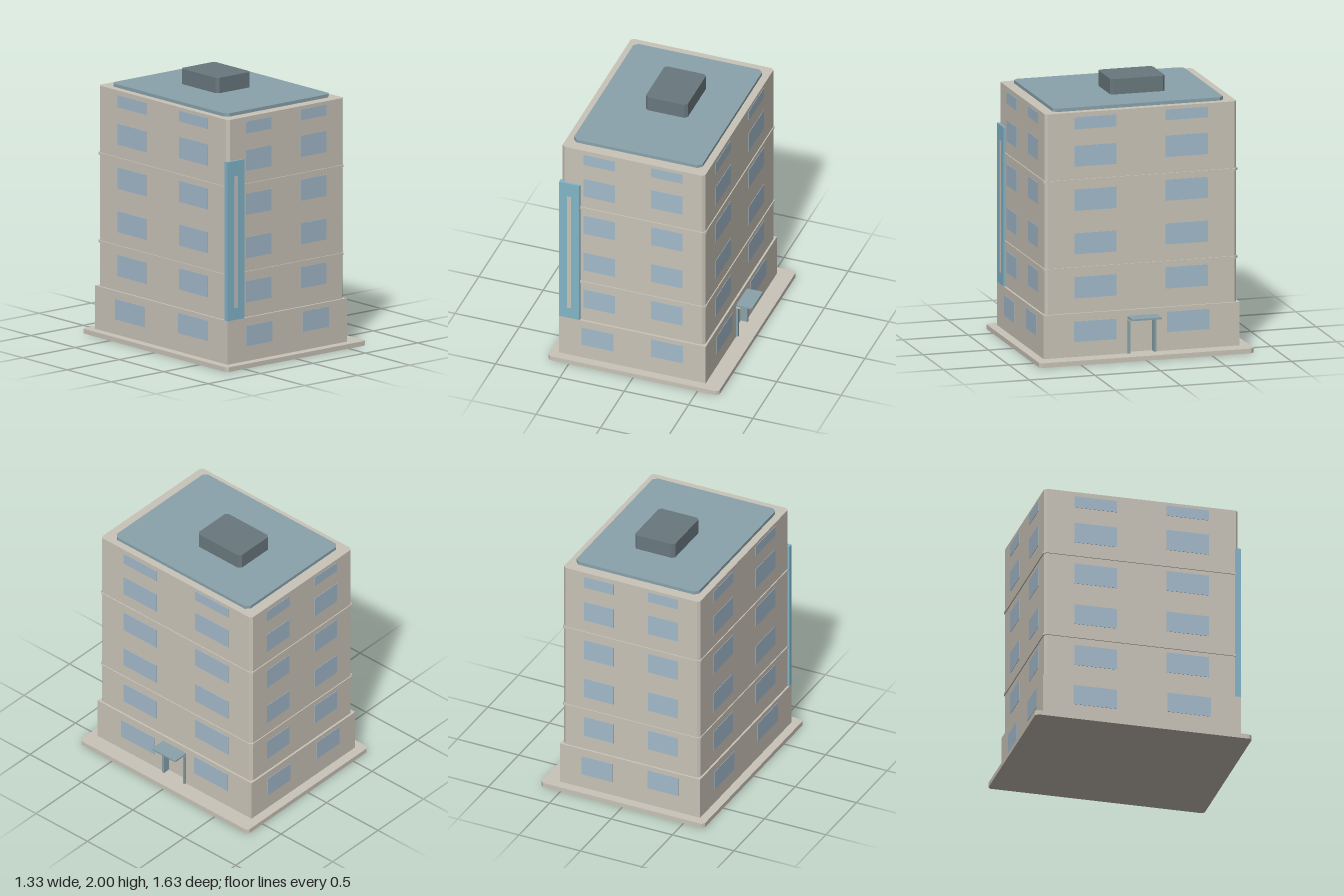
import * as THREE from 'three';

const mat = (name, color) => {
  const m = new THREE.MeshStandardMaterial({ color });
  m.name = name;
  return m;
};

export function createModel() {
  const wall = mat('stone beige', 0xcac4b8);
  const glass = mat('window blue', 0xa3bacb);
  const roofBlue = mat('roof grey blue', 0x8aa3ab);
  const panelBlue = mat('panel blue', 0x82b5c9);
  const slate = mat('slate grey', 0x69787e);

  const model = new THREE.Group();
  model.name = 'building';
  const CX = -0.03; // the tower sits slightly to one side of its plinth

  const add = (name, geometry, material, parent = model) => {
    const mesh = new THREE.Mesh(geometry, material);
    mesh.name = name;
    parent.add(mesh);
    return mesh;
  };

  // Upright prism over a footprint of [x, z] points
  const prism = (name, points, y0, y1, material) => {
    const shape = new THREE.Shape(points.map(([x, z]) => new THREE.Vector2(x, -z)));
    const g = new THREE.ExtrudeGeometry(shape, { depth: y1 - y0, bevelEnabled: false });
    g.rotateX(-Math.PI / 2).translate(0, y0, 0);
    return add(name, g, material);
  };

  // Rectangle footprint with cut corners
  const chamfered = (x0, x1, z0, z1, c) => [
    [x0 + c, z0], [x1 - c, z0], [x1, z0 + c], [x1, z1 - c],
    [x1 - c, z1], [x0 + c, z1], [x0, z1 - c], [x0, z0 + c],
  ];

  const box = (name, x0, x1, y0, y1, z0, z1, material, parent) =>
    add(name, new THREE.BoxGeometry(x1 - x0, y1 - y0, z1 - z0)
      .translate((x0 + x1) / 2, (y0 + y1) / 2, (z0 + z1) / 2), material, parent);

  // Plinth, and ground floor with a shallow door recess
  prism('plinth', chamfered(-0.665, 0.665, -0.82, 0.815, 0.02), 0, 0.035, wall);
  prism('groundFloor', [
    [-0.6, -0.748], [0.54, -0.748], [0.54, -0.095], [0.5, -0.095],
    [0.5, 0.095], [0.54, 0.095], [0.54, 0.748], [-0.6, 0.748],
  ], 0.035, 0.285, wall);
  box('groundFloorTop', -0.6, 0.54, 0.285, 0.36, -0.748, 0.748, wall);

  // Tower with two thin belt courses
  prism('tower', chamfered(CX - 0.555, CX + 0.555, -0.732, 0.732, 0.02), 0.36, 1.86, wall);
  for (const y of [0.695, 1.352]) {
    prism('beltCourse', chamfered(CX - 0.563, CX + 0.563, -0.74, 0.74, 0.022), y - 0.008, y + 0.008, wall);
  }

  // Roof slab and rooftop plant room
  prism('roofSlab', chamfered(-0.53, 0.47, -0.65, 0.65, 0.03), 1.86, 1.885, roofBlue);
  prism('plantRoom', chamfered(-0.165, 0.16, -0.3, 0.118, 0.02), 1.885, 2, slate);

  // Tall panel wrapping the front corner, with a raised slim strip
  prism('cornerPanel', [
    [-0.6, 0.71], [-0.584, 0.71], [-0.564, 0.73], [-0.44, 0.73], [-0.44, 0.748], [-0.6, 0.748],
  ], 0.36, 1.55, panelBlue);
  box('panelStrip', -0.535, -0.505, 0.45, 1.435, 0.746, 0.752, wall);

  // Entrance: canopy, lintel and two posts
  prism('canopy', chamfered(0.54, 0.665, -0.115, 0.112, 0.008), 0.302, 0.315, roofBlue);
  box('lintel', 0.5, 0.572, 0.282, 0.302, -0.108, 0.108, wall);
  for (const s of [-1, 1]) {
    const inner = s * 0.092, outer = s * 0.108;
    box('doorPost', 0.5, 0.555, 0.035, 0.283, Math.min(inner, outer), Math.max(inner, outer), roofBlue);
  }

  // Windows: two staggered columns on each of the four faces
  const leftRows = [[0.147, 0.3], [0.47, 0.63], [0.8, 0.957], [1.125, 1.285], [1.455, 1.612], [1.735, 1.825]];
  const rightRows = [[0.173, 0.325], [0.495, 0.655], [0.825, 0.983], [1.152, 1.31], [1.48, 1.64], [1.755, 1.835]];
  const faces = [
    ['front', 0, 0.732, 0.748, 0.14, 0.383],
    ['left', Math.PI / 2, 0.555, 0.57, 0.187, 0.508],
    ['back', Math.PI, 0.732, 0.748, 0.14, 0.383],
    ['right', -Math.PI / 2, 0.555, 0.57, 0.187, 0.508],
  ];
  for (const [side, turn, towerDepth, baseDepth, inner, outer] of faces) {
    const group = new THREE.Group();
    group.name = side + 'Windows';
    group.position.x = CX;
    group.rotation.y = turn;
    model.add(group);
    [[-1, leftRows], [1, rightRows]].forEach(([s, rows]) => rows.forEach(([y0, y1], floor) => {
      const d = floor ? towerDepth : baseDepth;
      const a = s * (inner + (floor ? 0 : 0.005)), b = s * (outer + (floor ? 0 : 0.01));
      box('window', Math.min(a, b), Math.max(a, b), y0, y1, d - 0.003, d + 0.003, glass, group);
    }));
  }
  return model;
}
